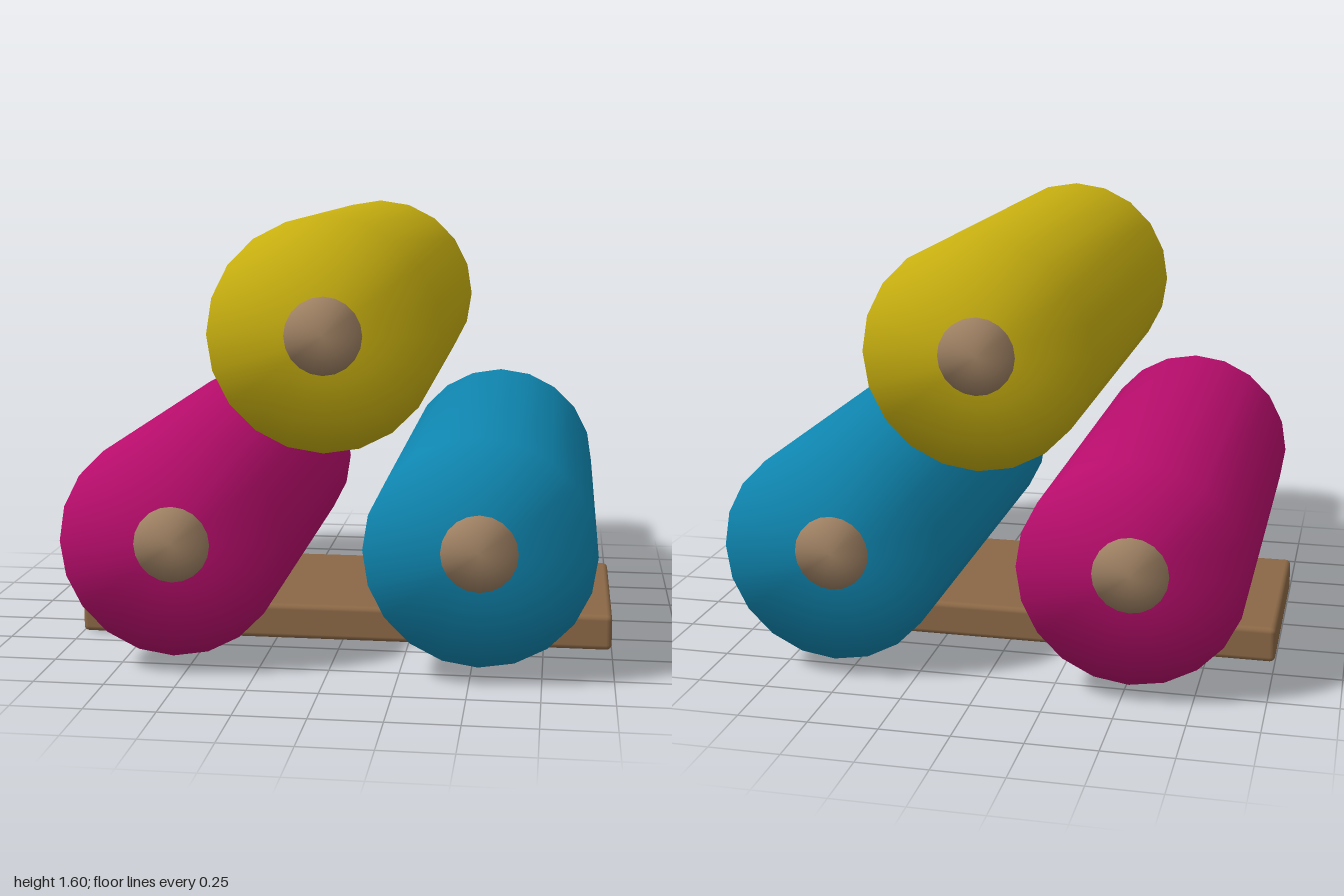
import * as THREE from 'three';
import { mergeVertices } from 'three/addons/utils/BufferGeometryUtils.js';
import { RoundedBoxGeometry } from 'three/addons/geometries/RoundedBoxGeometry.js';

const SIDES = 20;

// Cylinder along z whose ends share smooth normals with the sides
function softCylinder(radius, length) {
  const g = new THREE.CylinderGeometry(radius, radius, length, SIDES, 1);
  g.rotateX(Math.PI / 2);
  g.deleteAttribute('normal');
  g.deleteAttribute('uv');
  const merged = mergeVertices(g, 1e-4);
  merged.computeVertexNormals();
  return merged;
}

function part(name, geometry, color) {
  const mesh = new THREE.Mesh(geometry, new THREE.MeshStandardMaterial({ color }));
  mesh.name = name;
  return mesh;
}

export function createModel() {
  const model = new THREE.Group();
  model.name = 'rollStack';

  // Base plank
  const base = part('basePlank', new RoundedBoxGeometry(2, 0.133, 0.8, 2, 0.02), 0x8b6846);
  base.position.y = 0.0665;
  model.add(base);

  // Three rolls, each with a core showing at both ends
  const rollGeometry = softCylinder(0.4, 1.733);
  const coreGeometry = softCylinder(0.133, 1.76);
  const rolls = [
    ['rightRoll', -0.533, 0.47, 0xb80d6c],
    ['leftRoll', 0.533, 0.47, 0x0f86b0],
    ['topRoll', 0, 1.203, 0xc8b010],
  ];
  for (const [name, x, y, color] of rolls) {
    const roll = new THREE.Group();
    roll.name = name;
    roll.position.set(x, y, 0);
    roll.add(part('rollBody', rollGeometry, color), part('rollCore', coreGeometry, 0xa08264));
    model.add(roll);
  }
  return model;
}
